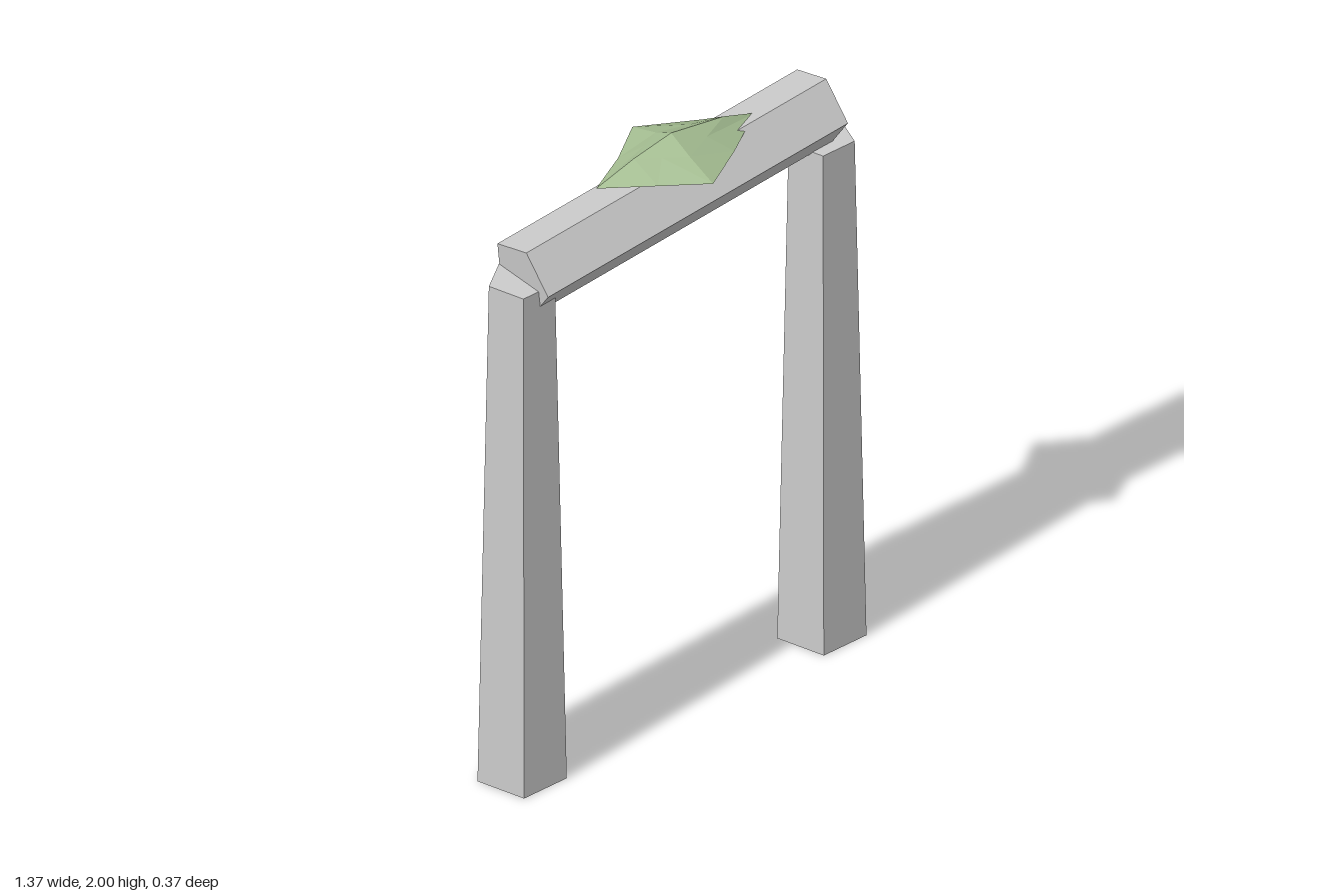
import * as THREE from 'three';

const stone = new THREE.MeshStandardMaterial({ color: 0xcccccc, flatShading: true });
const moss = new THREE.MeshStandardMaterial({ color: 0xa5be92, flatShading: true });

// Flattened, slightly irregular gem shape lofted through horizontal loops
function mossGeometry() {
  const rim = [[0.315, -0.015], [0.18, -0.085], [0, -0.185], [-0.13, -0.092],
    [-0.275, -0.015], [-0.13, 0.088], [0, 0.18], [0.15, 0.094]]
    .map(([x, z]) => new THREE.Vector3(x, 1.925, z));
  const ridge = [[0.2, 1.965, -0.015], [0, 1.963, -0.08], [-0.135, 1.967, -0.015], [0, 1.962, 0.075]]
    .map((p) => new THREE.Vector3(...p));
  // Between two ridge points the loop runs through their midpoint
  const upper = ridge.flatMap((p, i) => [p, p.clone().lerp(ridge[(i + 1) % 4], 0.5)]);
  const top = new THREE.Vector3(0, 2, -0.01);
  const bottom = new THREE.Vector3(0, 1.878, -0.01);
  const points = [];
  for (let i = 0; i < 8; i++) {
    const j = (i + 1) % 8;
    points.push(top, upper[i], upper[j]);
    points.push(upper[i], rim[i], rim[j], upper[i], rim[j], upper[j]);
    points.push(bottom, rim[j], rim[i]);
  }
  const geometry = new THREE.BufferGeometry().setFromPoints(points);
  geometry.computeVertexNormals();
  return geometry;
}

export function createModel() {
  const model = new THREE.Group();
  model.name = 'stoneArch';

  const add = (name, geometry, material) => {
    const mesh = new THREE.Mesh(geometry, material);
    mesh.name = name;
    model.add(mesh);
    return mesh;
  };

  // Tapered five-sided pillars
  const height = 1.737;
  for (const side of [-1, 1]) {
    const pillar = add(side > 0 ? 'leftPillar' : 'rightPillar',
      new THREE.CylinderGeometry(0.1, 0.135, height, 5), stone);
    pillar.rotation.y = Math.PI;
    pillar.position.set(side * 0.557, height / 2, -0.01);
  }

  // Five-sided lintel, leaning down towards one pillar
  const lintel = add('lintel', new THREE.CylinderGeometry(0.122, 0.122, 1.12, 5), stone);
  lintel.rotation.z = -Math.PI / 2 + 0.098;
  lintel.position.set(-0.002, 1.796, -0.008);

  // Moss patch on the lintel
  add('mossPatch', mossGeometry(), moss);
  return model;
}
